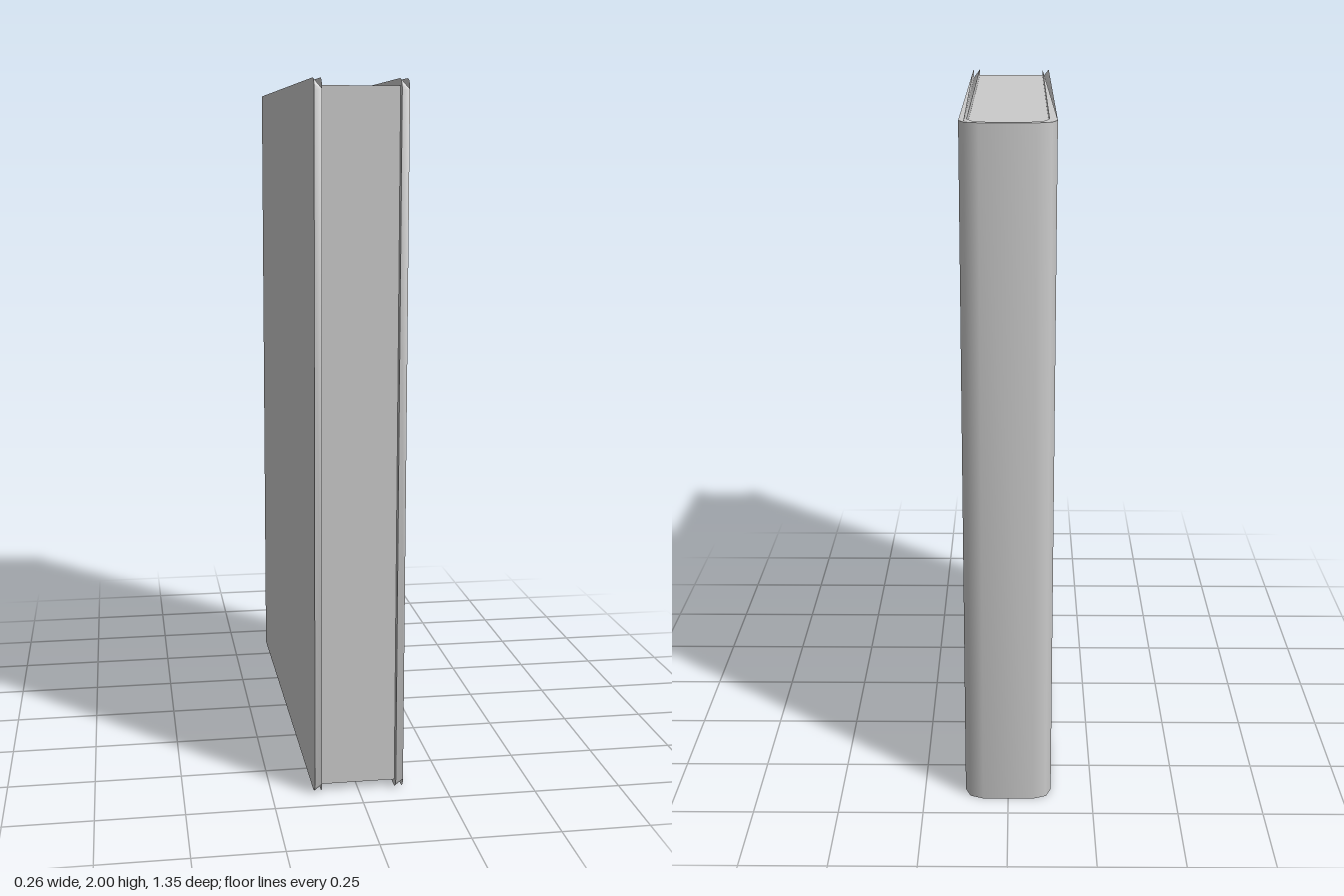
import * as THREE from 'three';
import { toCreasedNormals } from 'three/addons/utils/BufferGeometryUtils.js';

const HEIGHT = 2, FRONT = 0.677, CORNER = 0.03;

// Right half of the rounded spine, as [x, z] from the side to the back
const outerSpine = [[0.128, -0.628], [0.113, -0.663], [0.075, -0.677]];
const innerSpine = [[0.107, -0.603], [0.09, -0.645], [0.05, -0.66]];

const mirrored = (pts) => pts.map(([x, z]) => [-x, z]).reverse();

// Extrudes an [x, z] outline upwards
function extrudeUp(points, height) {
  const shape = new THREE.Shape(points.map(([x, z]) => new THREE.Vector2(x, -z)));
  const geo = new THREE.ExtrudeGeometry(shape, { depth: height, bevelEnabled: false });
  return geo.rotateX(-Math.PI / 2);
}

function makeMesh(name, geo) {
  const mesh = new THREE.Mesh(toCreasedNormals(geo, 0.95), new THREE.MeshStandardMaterial({ color: 0xcccccc }));
  mesh.name = name;
  return mesh;
}

// U-shaped cover: two boards joined by the spine
function createCover() {
  const steps = [];
  for (let i = 0; i <= 5; i++) steps.push(FRONT - CORNER + CORNER * Math.sin((i / 5) * Math.PI / 2));
  const edge = (x) => steps.map((z) => [x, z]);
  const outer = [...edge(0.128).reverse(), ...outerSpine];
  const inner = [...edge(0.107).reverse(), ...innerSpine];
  const outline = [...outer, ...mirrored(outer), ...inner.map(([x, z]) => [-x, z]), ...mirrored(inner).map(([x, z]) => [-x, z])];
  const geo = extrudeUp(outline, HEIGHT);

  // Round the boards' front corners by pulling the ends in
  const p = geo.attributes.position;
  for (let i = 0; i < p.count; i++) {
    const d = Math.max(0, p.getZ(i) - (FRONT - CORNER));
    const inset = CORNER - Math.sqrt(Math.max(0, CORNER * CORNER - d * d));
    p.setY(i, p.getY(i) < HEIGHT / 2 ? inset : HEIGHT - inset);
  }
  return makeMesh('cover', geo);
}

// Page block, filling the cover and set back from its edges
function createPages() {
  const half = [[0.107, 0.655], ...innerSpine];
  const geo = extrudeUp([...half, ...mirrored(half)], HEIGHT - 0.04);
  geo.translate(0, 0.02, 0);
  return makeMesh('pages', geo);
}

export function createModel() {
  const book = new THREE.Group();
  book.name = 'book';
  book.add(createCover(), createPages());
  return book;
}
